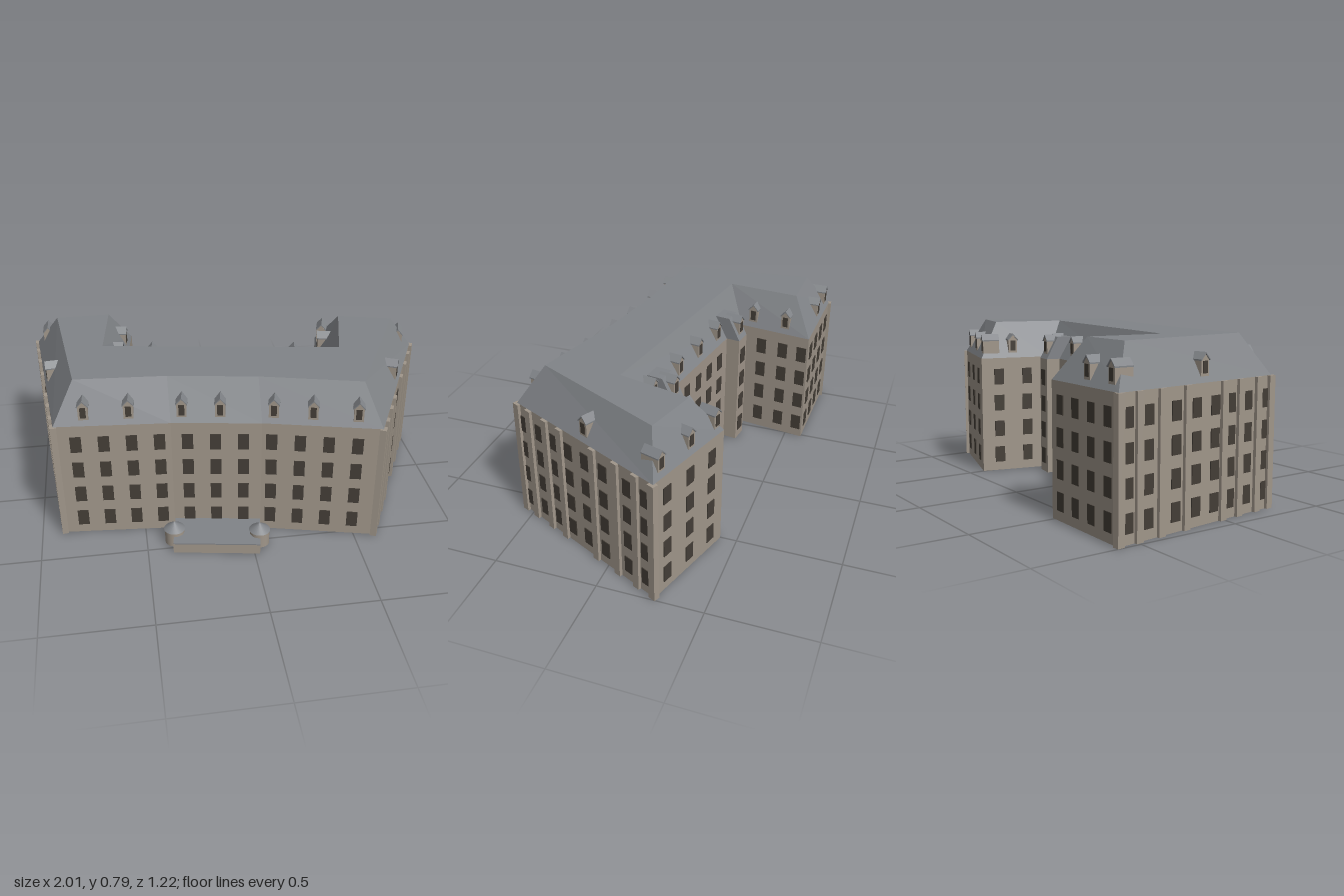
import * as THREE from 'three';

const WALL_H = 0.605, ROOF_H = 0.79;

// Footprint (x, z), running from the back left corner along the back
const eave = [[-0.985, -0.6], [-0.485, -0.59], [-0.54, -0.21], [0.415, -0.06], [0.5, -0.42],
  [0.985, -0.27], [0.597, 0.545], [0.06, 0.41], [-0.355, 0.345], [-0.89, 0.3]];
// Upper edge of the mansard slope, matching the footprint corner by corner
const ridge = [[-0.865, -0.485], [-0.6, -0.485], [-0.64, -0.12], [0.5, 0.065], [0.585, -0.285],
  [0.845, -0.215], [0.53, 0.42], [0.06, 0.3], [-0.355, 0.23], [-0.785, 0.2]];

export function createModel() {
  const mat = (name, color) => {
    const m = new THREE.MeshStandardMaterial({ color });
    m.name = name;
    return m;
  };
  const stone = mat('stone', 0xa0968a);
  const slate = mat('slate', 0x818488);
  const glass = mat('darkGlass', 0x443e37);

  const model = new THREE.Group();
  model.name = 'building';
  const add = (parent, name, geo, material, x = 0, y = 0, z = 0) => {
    const mesh = new THREE.Mesh(geo, material);
    mesh.name = name;
    mesh.position.set(x, y, z);
    parent.add(mesh);
    return mesh;
  };
  const outline = pts => new THREE.Shape(pts.map(p => new THREE.Vector2(p[0], -p[1])));
  const slab = (pts, h) =>
    new THREE.ExtrudeGeometry(outline(pts), { depth: h, bevelEnabled: false }).rotateX(-Math.PI / 2);

  // Walls
  add(model, 'walls', slab(eave, WALL_H), stone);

  // Mansard roof: one sloping face per wall plus the flat top
  const pos = [];
  eave.forEach((a, i) => {
    const j = (i + 1) % eave.length;
    const low = p => [p[0], WALL_H, p[1]], high = p => [p[0], ROOF_H, p[1]];
    const b = eave[j], c = ridge[i], d = ridge[j];
    pos.push(...low(a), ...high(c), ...high(d), ...low(a), ...high(d), ...low(b));
  });
  const slopes = new THREE.BufferGeometry();
  slopes.setAttribute('position', new THREE.Float32BufferAttribute(pos, 3));
  slopes.computeVertexNormals();
  add(model, 'roofSlopes', slopes, slate);
  add(model, 'roofTop', new THREE.ShapeGeometry(outline(ridge)).rotateX(-Math.PI / 2), slate, 0, ROOF_H);

  // Group standing on wall i at fraction t, its local +z pointing outward
  const onWall = (i, t, name) => {
    const a = eave[i], b = eave[(i + 1) % eave.length];
    const g = new THREE.Group();
    g.name = name;
    g.position.set(a[0] + (b[0] - a[0]) * t, 0, a[1] + (b[1] - a[1]) * t);
    g.rotation.y = Math.atan2(b[1] - a[1], -(b[0] - a[0]));
    model.add(g);
    return g;
  };
  // Fraction along wall i at a given x (axis 0) or z (axis 1)
  const frac = (i, axis, v) => {
    const a = eave[i][axis], b = eave[(i + 1) % eave.length][axis];
    return (v - a) / (b - a);
  };

  const paneGeo = new THREE.BoxGeometry(0.052, 0.083, 0.008);
  const windowColumn = (i, t, out = 0) => {
    const g = onWall(i, t, 'windowColumn');
    for (const y of [0.087, 0.227, 0.366, 0.506]) add(g, 'window', paneGeo, glass, 0, y, out);
  };

  // Gabled dormer: stone body, slate roof, dark window
  const bodyShape = new THREE.Shape([[-0.023, 0.63], [0.023, 0.63], [0.023, 0.698], [0, 0.724], [-0.023, 0.698]]
    .map(p => new THREE.Vector2(...p)));
  const bodyGeo = new THREE.ExtrudeGeometry(bodyShape, { depth: 0.085, bevelEnabled: false });
  const capShape = new THREE.Shape([[-0.027, 0.695], [0, 0.724], [0.027, 0.695], [0.027, 0.701], [0, 0.731], [-0.027, 0.701]]
    .map(p => new THREE.Vector2(...p)));
  const capGeo = new THREE.ExtrudeGeometry(capShape, { depth: 0.09, bevelEnabled: false });
  const dormerPane = new THREE.BoxGeometry(0.027, 0.052, 0.006);
  const dormer = (i, t, out = 0) => {
    const g = onWall(i, t, 'dormer');
    add(g, 'dormerBody', bodyGeo, stone, 0, 0, out - 0.097);
    add(g, 'dormerRoof', capGeo, slate, 0, 0, out - 0.097);
    add(g, 'dormerWindow', dormerPane, glass, 0, 0.668, out - 0.012);
  };

  // Front: a bent wall of three stretches, indexed by x
  const frontWall = x => (x > 0.06 ? 6 : x > -0.355 ? 7 : 8);
  for (let k = 0; k < 11; k++) {
    const x = -0.795 + k * 0.1285, i = frontWall(x);
    windowColumn(i, frac(i, 0, x));
  }
  for (const x of [-0.75, -0.545, -0.305, -0.13, 0.11, 0.285, 0.485]) {
    const i = frontWall(x);
    dormer(i, frac(i, 0, x));
  }

  // Outer side walls with pilasters, mirrored left and right
  const pilasterGeo = new THREE.BoxGeometry(0.036, WALL_H, 0.03);
  for (const [i, flip] of [[5, false], [9, true]]) {
    const at = t => (flip ? 1 - t : t);
    for (const t of [0.055, 0.175, 0.345, 0.476, 0.6, 0.71, 0.83, 0.965]) windowColumn(i, at(t));
    for (const t of [0.005, 0.115, 0.25, 0.41, 0.655, 0.77, 0.9, 0.995]) {
      add(onWall(i, at(t), 'pilaster'), 'pilasterShaft', pilasterGeo, stone, 0, WALL_H / 2, 0);
    }
    dormer(i, flip ? 0.46 : 0.49);
  }

  // Back ends of the wings
  for (const t of [0.14, 0.38, 0.62, 0.86]) windowColumn(0, t);
  for (const t of [0.18, 0.5, 0.82]) windowColumn(4, t);
  for (const t of [0.13, 0.48]) dormer(0, t);
  for (const t of [0.07, 0.45, 0.86]) dormer(4, t);

  // Courtyard walls
  for (const z of [-0.555, -0.45, -0.33]) windowColumn(1, frac(1, 1, z));
  for (const z of [-0.45, -0.27]) dormer(1, frac(1, 1, z));
  for (const z of [-0.33, -0.18]) windowColumn(3, frac(3, 1, z));
  dormer(3, frac(3, 1, -0.25));
  for (let k = 0; k < 5; k++) windowColumn(2, frac(2, 0, -0.27 + k * 0.12));
  for (const x of [-0.28, -0.075, 0.13, 0.38]) dormer(2, frac(2, 0, x));

  // Two full-height courtyard bays with their own sloped roofs and dormers
  const bayProfile = new THREE.Shape([[-0.1, WALL_H], [0.072, WALL_H], [0.01, 0.72], [-0.07, 0.72]]
    .map(p => new THREE.Vector2(...p)));
  const bayRoofGeo = new THREE.ExtrudeGeometry(bayProfile, { depth: 0.092, bevelEnabled: false })
    .translate(0, 0, -0.046).rotateY(-Math.PI / 2);
  for (const x of [-0.4, 0.31]) {
    const t = frac(2, 0, x), g = onWall(2, t, 'courtyardBay');
    add(g, 'bayWalls', new THREE.BoxGeometry(0.092, WALL_H, 0.12), stone, 0, WALL_H / 2, 0.012);
    add(g, 'bayRoof', bayRoofGeo, slate);
    windowColumn(2, t, 0.072);
    dormer(2, t, 0.072);
  }

  // Entrance terrace with two small round turrets
  const terrace = [[-0.35, 0.33], [0.06, 0.4], [0.025, 0.605], [-0.38, 0.535]];
  add(model, 'terrace', slab(terrace, 0.05), stone);
  add(model, 'terraceTop', slab(terrace, 0.006), slate, 0, 0.05);
  for (const [x, z] of [[-0.365, 0.445], [0.037, 0.515]]) {
    add(model, 'turret', new THREE.CylinderGeometry(0.047, 0.047, 0.076, 24), stone, x, 0.038, z);
    add(model, 'turretRoof', new THREE.ConeGeometry(0.051, 0.04, 24), slate, x, 0.095, z);
  }
  return model;
}
